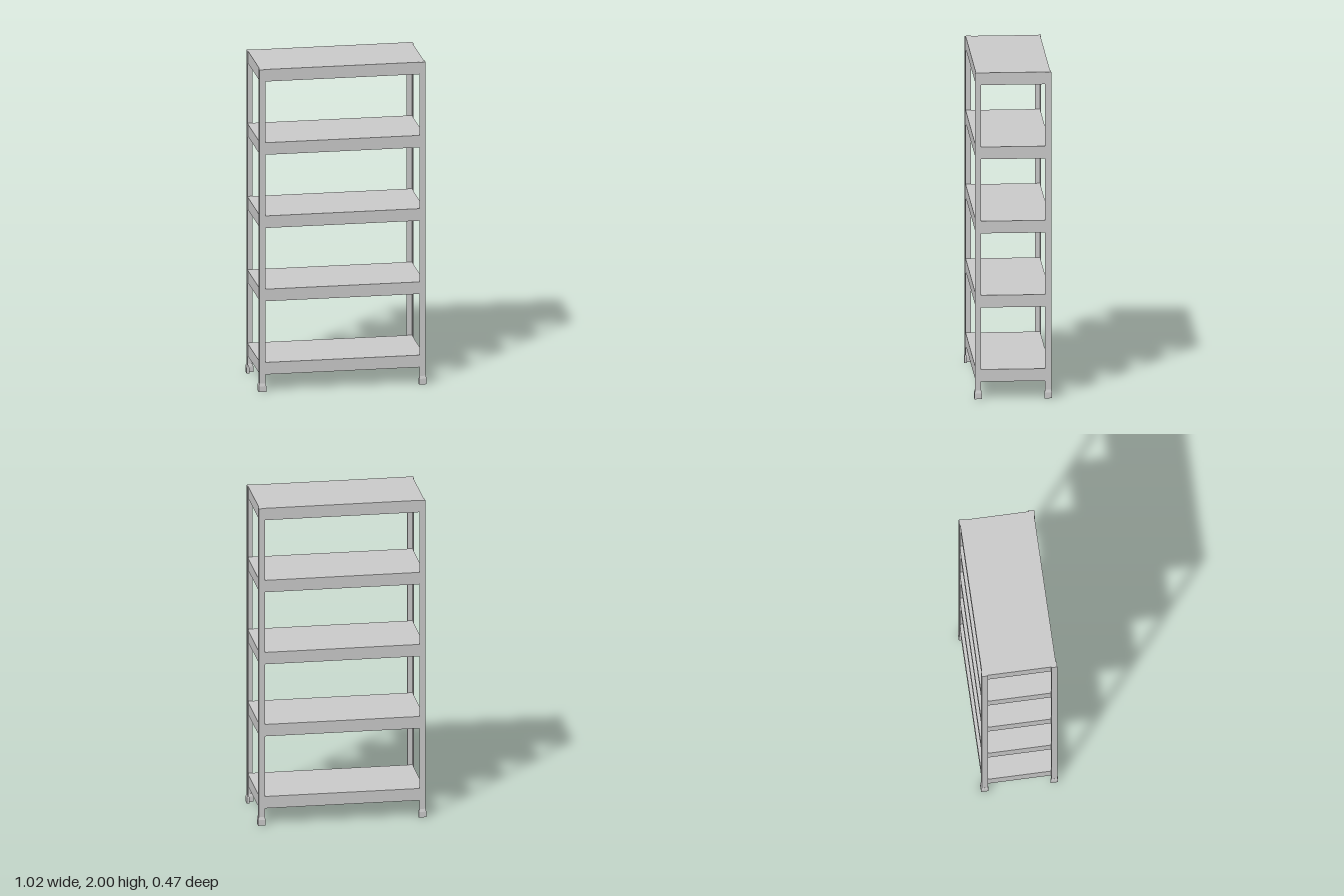
import * as THREE from 'three';

const material = new THREE.MeshStandardMaterial({ color: 0xcccccc, flatShading: true });

const SHELF = { x: 0.5, z: 0.2235, height: 0.075, wall: 0.007 };
const SHELF_TOPS = [0.18, 0.635, 1.09, 1.545, 2.0];

function addMesh(parent, name, geometry) {
  const mesh = new THREE.Mesh(geometry, material);
  mesh.name = name;
  parent.add(mesh);
  return mesh;
}

// Upright L-section bar whose outer corner is at (sx * x, sz * z)
function angleBar(sx, sz, x, z, width, thickness, y0, y1) {
  const section = [[0, 0], [width, 0], [width, thickness], [thickness, thickness], [thickness, width], [0, width]];
  const points = section.map(([a, b]) => new THREE.Vector2(sx * (x - a), -sz * (z - b)));
  const geometry = new THREE.ExtrudeGeometry(new THREE.Shape(points), { depth: y1 - y0, bevelEnabled: false });
  return geometry.rotateX(-Math.PI / 2).translate(0, y0, 0);
}

// Draws the L-section in by d at the upper end
function taperTop(geometry, x, z, d, yMid) {
  const p = geometry.attributes.position;
  const inset = (v, outer) => {
    const size = Math.abs(v);
    return Math.sign(v) * (outer - size < 0.002 ? size - d : size + d);
  };
  for (let i = 0; i < p.count; i++) {
    if (p.getY(i) > yMid) p.setXYZ(i, inset(p.getX(i), x), p.getY(i), inset(p.getZ(i), z));
  }
  geometry.computeVertexNormals();
  return geometry;
}

// Shelf: flat panel with a folded skirt, open underneath
function createShelf(top) {
  const { x, z, height, wall } = SHELF;
  const shelf = new THREE.Group();
  shelf.name = 'shelf';
  const panel = new THREE.BoxGeometry(2 * x, wall, 2 * z);
  addMesh(shelf, 'shelfPanel', panel).position.y = top - wall / 2;

  const corners = (w, d) => [[-w, -d], [w, -d], [w, d], [-w, d]].map(([a, b]) => new THREE.Vector2(a, b));
  const outline = new THREE.Shape(corners(x, z));
  outline.holes.push(new THREE.Path(corners(x - wall, z - wall).reverse()));
  const skirt = new THREE.ExtrudeGeometry(outline, { depth: height - wall, bevelEnabled: false });
  skirt.rotateX(-Math.PI / 2).translate(0, top - height, 0);
  addMesh(shelf, 'shelfSkirt', skirt);
  return shelf;
}

// Angle-section post with a tapered foot cap
function createPost(sx, sz) {
  const post = new THREE.Group();
  post.name = (sz > 0 ? 'front' : 'back') + (sx > 0 ? 'Left' : 'Right') + 'Post';
  addMesh(post, 'postAngle', angleBar(sx, sz, 0.5045, 0.228, 0.036, 0.0045, 0.005, 2.0));

  const x = 0.51, z = 0.233, width = 0.046, thickness = 0.016;
  addMesh(post, 'foot', angleBar(sx, sz, x, z, width, thickness, 0, 0.035));
  const collar = angleBar(sx, sz, x, z, width, thickness, 0.035, 0.052);
  addMesh(post, 'footCollar', taperTop(collar, x, z, 0.005, 0.045));
  return post;
}

export function createModel() {
  const model = new THREE.Group();
  model.name = 'shelvingUnit';
  for (const top of SHELF_TOPS) model.add(createShelf(top));
  for (const sx of [-1, 1]) for (const sz of [-1, 1]) model.add(createPost(sx, sz));
  return model;
}
